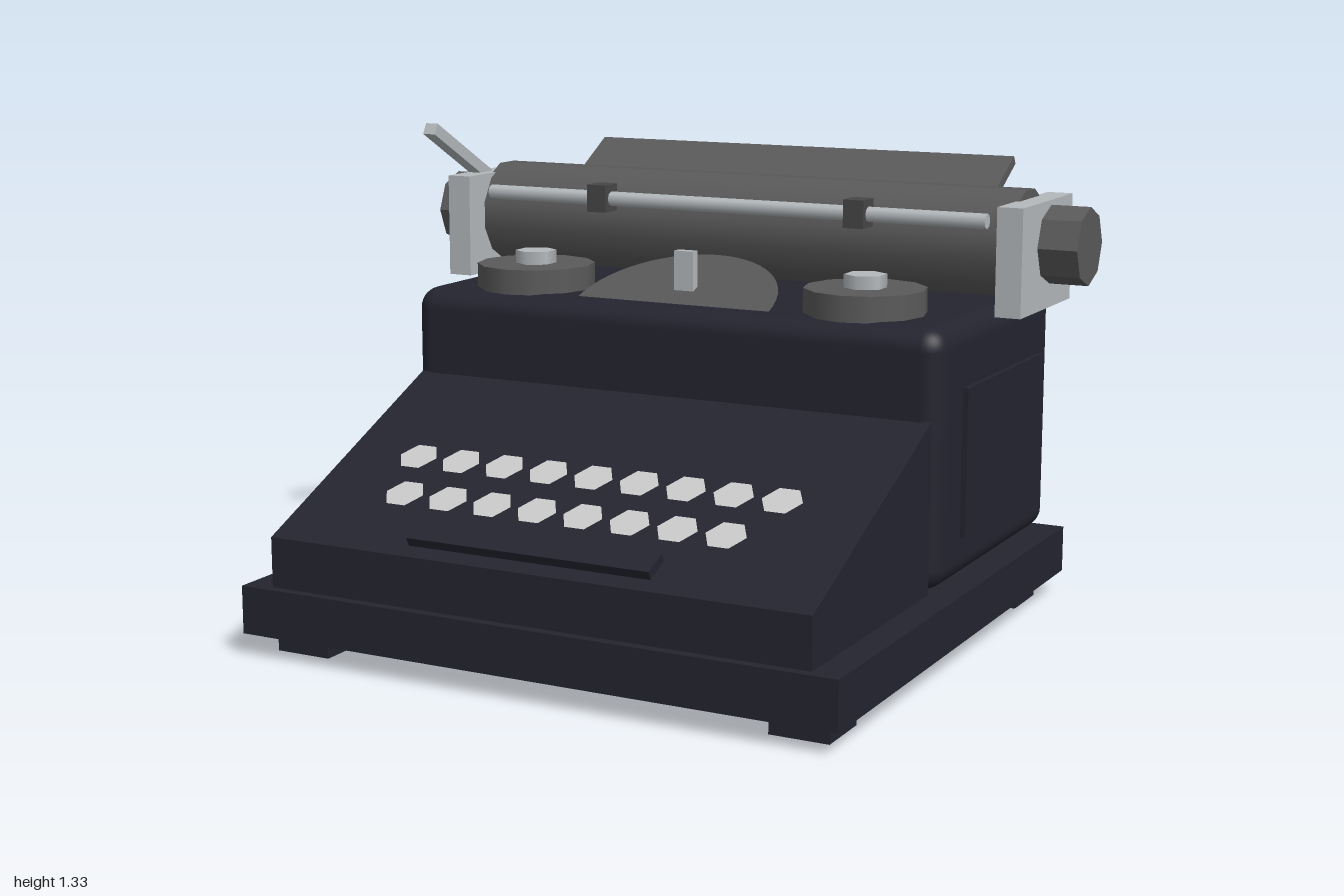
import * as THREE from 'three';
import { RoundedBoxGeometry } from 'three/addons/geometries/RoundedBoxGeometry.js';

const mat = (name, color, extra = {}) => {
  const m = new THREE.MeshStandardMaterial({ color, ...extra });
  m.name = name;
  return m;
};

export function createModel() {
  const group = new THREE.Group();
  const navy = mat('navy enamel', 0x242430);
  const rubber = mat('dark rubber', 0x5a5a5a);
  const rubberFlat = rubber;
  const clipGrey = mat('clip grey', 0x474747);
  const metal = mat('pale metal', 0xb4b9bc);
  const keyGrey = mat('key grey', 0xc8c8c8, { side: THREE.DoubleSide });
  const plateGrey = mat('plate grey', 0x575757, { side: THREE.DoubleSide });

  const add = (name, geometry, material, x = 0, y = 0, z = 0, rx = 0) => {
    const m = new THREE.Mesh(geometry, material);
    m.name = name;
    m.position.set(x, y, z);
    m.rotation.x = rx;
    group.add(m);
    return m;
  };
  const box = (name, w, h, d, material, x, y, z, rx) =>
    add(name, new THREE.BoxGeometry(w, h, d), material, x, y, z, rx);
  // Cylinder lying along x, turned about its axis by "turn"
  const rod = (name, r, length, sides, material, x, y, z, turn = 0, flat = false) => {
    let g = new THREE.CylinderGeometry(r, r, length, sides);
    g.rotateY(turn).rotateZ(Math.PI / 2);
    if (flat) {
      g = g.toNonIndexed();
      g.computeVertexNormals();
    }
    return add(name, g, material, x, y, z);
  };

  // Base and feet
  box('base', 1.71, 0.13, 1.6, navy, 0, 0.125, 0.017);
  for (const sx of [-1, 1])
    for (const z of [0.66, -0.62]) box('foot', 0.16, 0.06, 0.16, navy, sx * 0.72, 0.03, z);

  // Housing with raised side and rear panels
  add('housing', new RoundedBoxGeometry(1.6, 0.695, 0.853, 4, 0.06), navy, 0, 0.5375, -0.357);
  for (const sx of [-1, 1]) box('sidePanel', 0.03, 0.4, 0.585, navy, sx * 0.8, 0.512, -0.382);
  box('rearPanel', 1.32, 0.45, 0.03, navy, 0, 0.513, -0.78);

  // Sloping keyboard deck
  const profile = new THREE.Shape();
  profile.moveTo(0.79, 0.19);
  profile.lineTo(0.79, 0.325);
  profile.lineTo(0.065, 0.647);
  profile.lineTo(0.065, 0.19);
  const deck = new THREE.ExtrudeGeometry(profile, { depth: 1.55, bevelEnabled: false });
  deck.rotateY(-Math.PI / 2).translate(0.775, 0, 0);
  add('keyboardDeck', deck, navy);

  // Two rows of flat keys and the space bar, parallel to the deck
  const slope = Math.atan2(0.322, 0.725);
  const keyShape = new THREE.CircleGeometry(0.056, 6);
  const rows = [
    { count: 9, x: -0.52, y: 0.505, z: 0.475 },
    { count: 8, x: -0.468, y: 0.441, z: 0.621 },
  ];
  for (const row of rows)
    for (let i = 0; i < row.count; i++)
      add('key', keyShape, keyGrey, row.x + i * 0.1335, row.y, row.z, slope - Math.PI / 2);
  box('spaceBar', 0.694, 0.024, 0.074, navy, 0, 0.38, 0.757, slope);

  // Ribbon spools with hexagonal hubs
  for (const sx of [-1, 1]) {
    add('ribbonSpool', new THREE.CylinderGeometry(0.166, 0.166, 0.07, 12), rubber, sx * 0.507, 0.917, -0.121);
    add('spoolHub', new THREE.CylinderGeometry(0.058, 0.058, 0.04, 6), metal, sx * 0.507, 0.968, -0.121);
  }

  // Tilted half-round type basket and type guide
  add('typeBasket', new THREE.CircleGeometry(0.29, 28, 0, Math.PI), plateGrey,
    0, 0.89, 0.017, 0.35 - Math.PI / 2);
  box('typeGuide', 0.058, 0.125, 0.026, metal, 0, 0.962, -0.066);

  // Platen, end blocks and knobs
  rod('platen', 0.15, 1.656, 12, rubber, 0, 1.046, -0.49, Math.PI / 12);
  for (const sx of [-1, 1]) {
    box('carriageEnd', 0.072, 0.293, 0.403, metal, sx * 0.854, 1.021, -0.464);
    rod('platenKnob', 0.107, 0.13, 8, rubberFlat, sx * 0.935, 1.047, -0.489, 0, true);
  }

  // Paper bail and its clips
  rod('paperBail', 0.021, 1.545, 8, metal, 0, 1.121, -0.315);
  for (const sx of [-1, 1]) box('bailClip', 0.06, 0.078, 0.07, clipGrey, sx * 0.4, 1.123, -0.314);

  // Paper table leaning back
  box('paperTable', 1.334, 0.026, 0.228, rubberFlat, 0, 1.179, -0.715, Math.PI / 6);

  // Carriage return lever
  box('returnLever', 0.04, 0.034, 0.33, metal, -0.867, 1.236, -0.281, -0.5);

  return group;
}
